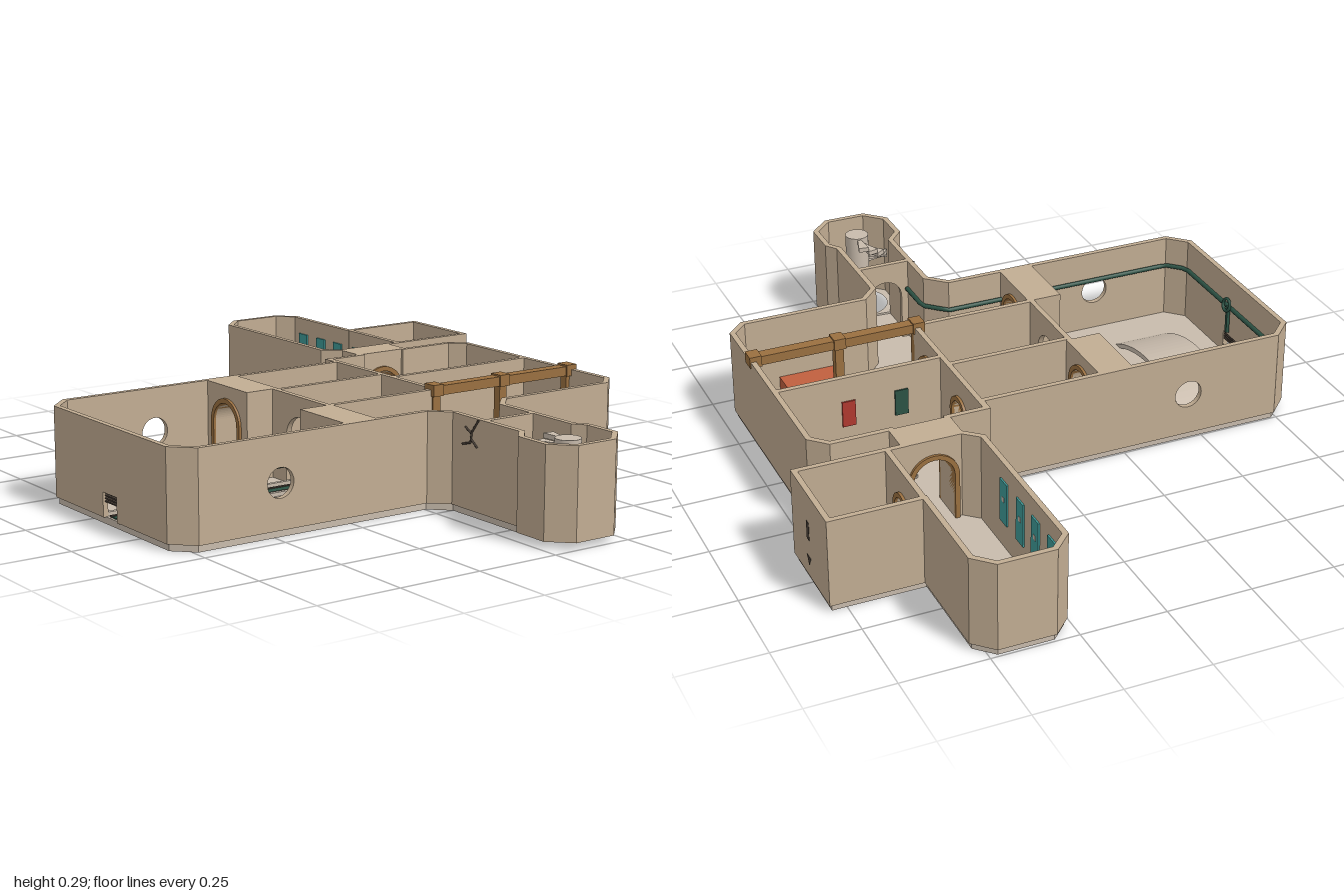
import * as THREE from 'three';

const mat = (color, side = THREE.FrontSide) => new THREE.MeshStandardMaterial({ color, side, flatShading: false });
const STONE = mat(0xc2ad93), FLOOR = mat(0xc8bbac), WOOD = mat(0x9a7040), DARK = mat(0x4a4038),
  GREEN = mat(0x2c5244), TEAL = mat(0x3f9a98), RED = mat(0xc0603f), CRIMSON = mat(0xb03a30);
const T = 0.016, BASE = 0.02, TOP = 0.28;

export function createModel() {
  const root = new THREE.Group();
  root.name = 'dungeonFloor';

  const add = (name, geo, material, x = 0, y = 0, z = 0, ry = 0, parent = root) => {
    const m = new THREE.Mesh(geo, material);
    m.name = name;
    m.position.set(x, y, z);
    m.rotation.y = ry;
    parent.add(m);
    return m;
  };
  const box = (name, material, x, y, z, w, h, d, ry = 0) =>
    add(name, new THREE.BoxGeometry(w, h, d), material, x, y, z, ry);
  const cyl = (name, material, x, y, z, r, h, n = 20) =>
    add(name, new THREE.CylinderGeometry(r, r, h, n), material, x, y, z);

  // horizontal slab from [x, z] points
  const slab = (name, pts, y0, y1, material, hole) => {
    const s = new THREE.Shape(pts.map(([x, z]) => new THREE.Vector2(x, -z)));
    if (hole) s.holes.push(new THREE.Path().absarc(hole[0], -hole[1], hole[2], 0, Math.PI * 2, true));
    const g = new THREE.ExtrudeGeometry(s, { depth: y1 - y0, bevelEnabled: false, curveSegments: 20 });
    g.rotateX(-Math.PI / 2);
    return add(name, g, material, 0, y0, 0);
  };

  // doorway outline, walked from left foot to right foot
  const doorPath = (s, { u, w, h, square }) => {
    s.lineTo(u - w / 2, 0);
    if (square) s.lineTo(u - w / 2, h).lineTo(u + w / 2, h);
    else s.lineTo(u - w / 2, h - w / 2).absarc(u, h - w / 2, w / 2, Math.PI, 0, true);
    s.lineTo(u + w / 2, 0);
  };

  // upright wall from a to b with doors and round windows; thickness grows to the inner side
  const wall = (name, [ax, az], [bx, bz], { t = T, off = -T / 2, doors = [], rounds = [], frame = false } = {}) => {
    const len = Math.hypot(bx - ax, bz - az), ry = Math.atan2(az - bz, bx - ax);
    const g = new THREE.Group();
    g.name = name;
    g.position.set(ax, BASE, az);
    g.rotation.y = ry;
    root.add(g);
    const s = new THREE.Shape().moveTo(0, 0);
    doors.forEach(d => doorPath(s, d));
    s.lineTo(len, 0).lineTo(len, TOP - BASE).lineTo(0, TOP - BASE);
    rounds.forEach(([u, y, r]) => s.holes.push(new THREE.Path().absarc(u, y, r, 0, Math.PI * 2, true)));
    const ext = (shape, depth) => new THREE.ExtrudeGeometry(shape, { depth, bevelEnabled: false, curveSegments: 16 });
    add(name + 'Panel', ext(s, t), STONE, 0, 0, off, 0, g);
    if (frame) doors.forEach(d => {
      const f = new THREE.Shape().moveTo(d.u - d.w / 2 - 0.014, 0);
      doorPath(f, d);
      const R = d.w / 2 + 0.014;
      f.lineTo(d.u + R, 0).lineTo(d.u + R, d.h - d.w / 2).absarc(d.u, d.h - d.w / 2, R, 0, Math.PI, false);
      f.lineTo(d.u - R, 0);
      add('archFrame', ext(f, t + 0.016), WOOD, 0, 0, off - 0.008, 0, g);
    });
  };

  // outer outline, clockwise from above; a third entry describes openings in the edge that follows
  const outline = [
    [-0.247, -0.71], [0.407, -0.71], [0.457, -0.66], [0.457, -0.28], [0.505, -0.235], [0.795, -0.235],
    [0.83, -0.26], [0.94, -0.26], [1, -0.2], [1, -0.07], [0.94, -0.01], [0.83, -0.01], [0.785, -0.05],
    [0.505, -0.05], [0.457, 0], [0.457, 0.41, { rounds: [[0.075, 0.13, 0.042]] }], [0.457, 0.56],
    [0.457, 0.74], [0.397, 0.8], [0.16, 0.8, { doors: [{ u: 0.055, w: 0.075, h: 0.07, square: true }] }], [0.05, 0.8],
    [-0.194, 0.8], [-0.254, 0.74], [-0.254, 0.52, { rounds: [[0.07, 0.13, 0.042]] }], [-0.254, 0.38],
    [-0.254, -0.19], [-0.297, -0.19], [-0.297, -0.31], [-0.375, -0.31], [-0.42, -0.26], [-0.945, -0.26],
    [-1, -0.315], [-1, -0.48], [-0.945, -0.535], [-0.65, -0.535], [-0.65, -0.8],
    [-0.375, -0.8], [-0.375, -0.49], [-0.297, -0.49], [-0.297, -0.66]];
  const N = outline.length;
  const inset = d => outline.map((p, i) => {
    const normal = (a, b) => new THREE.Vector2(a[1] - b[1], b[0] - a[0]).normalize();
    const n1 = normal(outline[(i + N - 1) % N], p), n2 = normal(p, outline[(i + 1) % N]);
    const k = d / (1 + n1.dot(n2));
    return [p[0] + (n1.x + n2.x) * k, p[1] + (n1.y + n2.y) * k];
  });
  const inner = inset(T);
  outline.forEach((p, i) => {
    const j = (i + 1) % N, q = outline[j];
    if (p[2]) wall('outerWall', p, q, { off: 0, ...p[2] });
    else slab('outerWall', [p, q, inner[j], inner[i]], BASE, TOP, STONE);
  });

  // floor, leaving the stair tower open below
  slab('floor', inset(0.008).filter(p => p[0] < 0.81), 0, BASE, FLOOR);
  slab('towerFloor', inset(0.004).filter(p => p[0] > 0.7), BASE, BASE + 0.006, FLOOR, [0.885, -0.135, 0.09]);

  // inner walls
  wall('northDivider', [0.03, -0.7], [0.03, -0.2]);
  wall('crossWall', [-0.29, -0.2], [0.235, -0.2], {
    frame: true, doors: [{ u: 0.17, w: 0.085, h: 0.19 }, { u: 0.4, w: 0.12, h: 0.2 }]
  });
  wall('leftPassageWall', [-0.02, -0.2], [-0.02, 0.17]);
  wall('rightPassageWall', [0.235, -0.2], [0.235, 0.17]);
  wall('passageEndWall', [-0.035, 0.175], [0.24, 0.175], { doors: [{ u: 0.14, w: 0.13, h: 0.2 }] });
  for (const [a, b] of [[-0.245, -0.03], [0.235, 0.45]])
    wall('thickGateway', [a, 0.165], [b, 0.165], {
      t: 0.105, off: 0, frame: true, doors: [{ u: 0.11, w: 0.12, h: 0.21 }]
    });
  wall('westRoomDoor', [-0.53 - 0.12, -0.53], [-0.38, -0.53], { frame: true, doors: [{ u: 0.14, w: 0.08, h: 0.18 }] });
  wall('westGateway', [-0.29, -0.485], [-0.29, -0.315], {
    t: 0.1, off: 0, frame: true, doors: [{ u: 0.085, w: 0.12, h: 0.2 }]
  });
  wall('towerGate', [0.635, -0.23], [0.635, -0.055], { doors: [{ u: 0.0875, w: 0.11, h: 0.2 }] });

  // timber frame and beam between the north rooms
  box('ceilingBeam', WOOD, 0.235, 0.276, -0.445, 0.034, 0.028, 0.53);
  for (const z of [-0.695, -0.44, -0.195]) {
    box('beamClamp', WOOD, 0.235, 0.278, z, 0.044, 0.034, 0.036);
    box('beamPost', WOOD, 0.235, 0.142, z, 0.026, 0.245, 0.026);
  }
  box('midRail', WOOD, 0.235, 0.13, -0.445, 0.016, 0.016, 0.5);

  // main water channel with curbs
  box('channelWater', GREEN, 0.105, 0.0215, 0.415, 0.03, 0.004, 0.74);
  for (const s of [-1, 1]) {
    box('channelCurb', FLOOR, 0.105 + s * 0.045, 0.025, 0.3, 0.012, 0.012, 0.98);
    box('channelLip', DARK, 0.105 + s * 0.021, 0.0225, 0.415, 0.01, 0.006, 0.74);
    box('drainFrame', STONE, 0.105 + s * 0.042, 0.058, 0.793, 0.012, 0.078, 0.014);
  }
  box('drainLintel', STONE, 0.105, 0.095, 0.793, 0.09, 0.01, 0.014);
  for (let i = 0; i < 4; i++) box('drainBar', DARK, 0.105, 0.064 + i * 0.008, 0.79, 0.075, 0.004, 0.008);

  // paired timber rails with stone pit frames
  const railPair = (x, z, len, alongX) => [-1, 1].forEach(s => box('floorRail', WOOD,
    x + (alongX ? 0 : s * 0.014), 0.027, z + (alongX ? s * 0.014 : 0), alongX ? len : 0.013, 0.014, alongX ? 0.013 : len));
  const pitFrame = (x, z, w, d) => {
    for (const s of [-1, 1]) {
      box('pitFrame', FLOOR, x + s * w / 2, 0.024, z, 0.008, 0.01, d);
      box('pitFrame', FLOOR, x, 0.024, z + s * d / 2, w, 0.01, 0.008);
    }
  };
  railPair(0.103, -0.29, 0.6, false); pitFrame(0.103, -0.29, 0.08, 0.64);
  railPair(-0.12, -0.44, 0.17, false); pitFrame(-0.12, -0.49, 0.08, 0.26);
  railPair(-0.695, -0.4, 0.4, true); pitFrame(-0.865, -0.4, 0.07, 0.07);
  railPair(-0.513, -0.53, 0.28, false); pitFrame(-0.513, -0.66, 0.07, 0.07);
  cyl('roundPlinth', FLOOR, -0.12, 0.045, -0.575, 0.043, 0.05, 24);

  // arched footbridge over the channel
  const arc = new THREE.Shape().moveTo(-0.21, 0).quadraticCurveTo(0, 0.11, 0.21, 0).lineTo(0.18, 0)
    .quadraticCurveTo(0, 0.08, -0.18, 0);
  add('footbridge', new THREE.ExtrudeGeometry(arc, { depth: 0.175, bevelEnabled: false, curveSegments: 20 }), FLOOR, 0.103, BASE, 0.5);

  // pipes: one across the hall, one following the outer wall
  const pipe = (name, pts, r, material) => {
    const path = new THREE.CurvePath();
    const v = pts.map(p => new THREE.Vector3(...p));
    for (let i = 1; i < v.length; i++) path.add(new THREE.LineCurve3(v[i - 1], v[i]));
    add(name, new THREE.TubeGeometry(path, 60, r, 8), material);
  };
  pipe('hallPipe', [[-0.24, 0.035, 0.435], [0.34, 0.035, 0.435], [0.34, 0.035, 0.31]], 0.015, GREEN);
  box('pumpBox', WOOD, 0.34, 0.045, 0.305, 0.048, 0.05, 0.044);
  const along = inset(T + 0.006).slice(13, 22).map(([x, z]) => [x, 0.19, z]);
  pipe('wallPipe', [[0.62, 0.19, along[0][2]], ...along], 0.007, GREEN);
  const wheel = add('valveWheel', new THREE.TorusGeometry(0.019, 0.005, 8, 18), GREEN, 0.105, 0.2, 0.768);
  box('valveStem', GREEN, 0.105, 0.15, 0.774, 0.01, 0.09, 0.01);
  wheel.rotation.x = 0.2;

  // banners and wall slits
  for (const x of [-0.885, -0.785, -0.69, -0.585])
    for (const z of [-0.516, -0.279]) {
      box('banner', TEAL, x, 0.165, z, 0.045, 0.13, 0.005);
      box('bannerMark', FLOOR, x, 0.175, z, 0.014, 0.014, 0.007, 0);
    }
  box('redBanner', CRIMSON, 0.019, 0.165, -0.49, 0.005, 0.08, 0.04);
  box('greenBanner', GREEN, 0.019, 0.165, -0.33, 0.005, 0.08, 0.04);
  for (const z of [-0.09, -0.005, 0.08]) box('wallSlit', DARK, -0.236, 0.14, z, 0.005, 0.1, 0.035);
  box('backSlit', DARK, -0.5, 0.165, -0.799, 0.018, 0.055, 0.004);
  cyl('backVent', DARK, -0.5, 0.075, -0.799, 0.018, 0.004, 3).rotation.x = Math.PI / 2;

  // crack in the corridor wall
  pipe('wallCrack', [[0.55, 0.2, -0.049], [0.585, 0.21, -0.049], [0.59, 0.24, -0.049], [0.62, 0.28, -0.049]], 0.003, DARK);
  pipe('crackBranch', [[0.59, 0.235, -0.049], [0.562, 0.25, -0.049]], 0.003, DARK);
  pipe('crackBranch', [[0.587, 0.22, -0.049], [0.615, 0.2, -0.049]], 0.003, DARK);

  // furniture: table with stools, slatted rack, pots
  box('table', RED, 0.388, 0.05, -0.468, 0.105, 0.06, 0.175);
  box('stool', RED, 0.375, 0.04, -0.595, 0.045, 0.04, 0.045, 0.2);
  box('stool', RED, 0.375, 0.04, -0.335, 0.045, 0.04, 0.045, -0.4);
  for (let i = 0; i < 15; i++)
    box('rackSlat', RED, -0.428, 0.035, -0.775 + i * 0.0162, 0.075, 0.03, 0.008, i % 2 ? 0.1 : -0.1);
  const pots = [[-0.6, -0.75, 0.017], [-0.62, -0.712, 0.008], [-0.196, 0.733, 0.017], [-0.16, 0.715, 0.009], [-0.16, 0.742, 0.009]];
  for (const [x, z, r] of pots) cyl('pot', DARK, x, BASE + r, z, r, r * 2, 14);

  // spiral stair around a column
  cyl('stairColumn', FLOOR, 0.885, 0.135, -0.135, 0.036, 0.27, 24);
  for (let i = 0; i < 18; i++) {
    const a = Math.PI * 0.85 - i * Math.PI / 9, h = 0.014;
    const tread = new THREE.Shape().moveTo(0.03, -0.005).lineTo(0.093, -0.016).lineTo(0.093, 0.016).lineTo(0.03, 0.005);
    const g = new THREE.ExtrudeGeometry(tread, { depth: h, bevelEnabled: false }).rotateX(-Math.PI / 2);
    add('stairTread', g, FLOOR, 0.885, i * 0.0148, -0.135, a);
  }
  return root;
}
